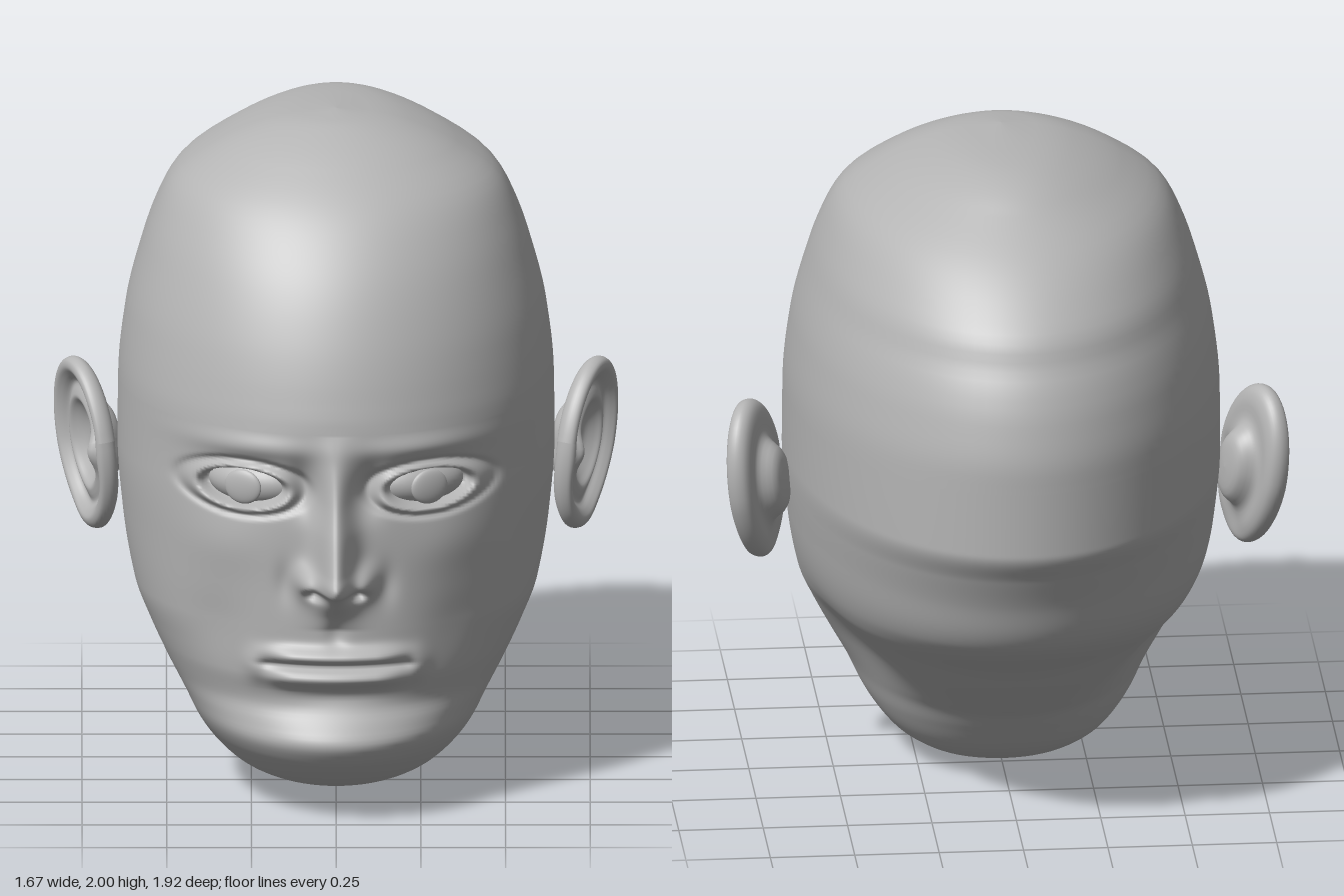
import * as THREE from 'three';

const skin = new THREE.MeshStandardMaterial({ color: 0xb4b4b4 });
skin.name = 'plain grey';

// Smooth monotone curve through [y, value] pairs
function curve(pts) {
  const d = pts.slice(1).map((p, i) => (p[1] - pts[i][1]) / (p[0] - pts[i][0]));
  const m = pts.map((p, i) => {
    const a = d[Math.max(i - 1, 0)], b = d[Math.min(i, d.length - 1)];
    return a * b > 0 ? (2 * a * b) / (a + b) : 0;
  });
  return (y) => {
    let i = 0;
    while (i < d.length - 1 && y > pts[i + 1][0]) i++;
    const h = pts[i + 1][0] - pts[i][0];
    const t = THREE.MathUtils.clamp((y - pts[i][0]) / h, 0, 1), s = 1 - t;
    return pts[i][1] * (1 + 2 * t) * s * s + pts[i + 1][1] * t * t * (3 - 2 * t)
      + h * (m[i] * t * s * s - m[i + 1] * t * t * s);
  };
}

// Skull outlines by height: half width, front, back and widest depth
const halfWidth = curve([[0, 0], [0.008, 0.1], [0.03, 0.2], [0.05, 0.245], [0.1, 0.32], [0.2, 0.4], [0.3, 0.45],
  [0.4, 0.505], [0.5, 0.555], [0.6, 0.595], [0.8, 0.63], [1, 0.645], [1.2, 0.643], [1.4, 0.622], [1.6, 0.572],
  [1.7, 0.537], [1.8, 0.485], [1.9, 0.355], [1.97, 0.2], [1.992, 0.1], [2, 0]]);
const front = curve([[0, 0.1], [0.01, 0.25], [0.05, 0.5], [0.1, 0.64], [0.15, 0.72], [0.2, 0.775], [0.25, 0.8],
  [0.3, 0.775], [0.36, 0.742], [0.45, 0.762], [0.6, 0.77], [0.8, 0.772], [1, 0.775], [1.2, 0.78], [1.3, 0.762],
  [1.4, 0.735], [1.5, 0.698], [1.6, 0.65], [1.7, 0.585], [1.8, 0.497], [1.9, 0.36], [1.97, 0.22], [1.995, 0.13], [2, 0.04]]);
const back = curve([[0, 0.1], [0.01, 0.03], [0.04, -0.08], [0.1, -0.18], [0.2, -0.27], [0.26, -0.32], [0.3, -0.37],
  [0.4, -0.49], [0.5, -0.6], [0.6, -0.74], [0.65, -0.79], [0.7, -0.82], [0.8, -0.86], [0.9, -0.91], [1, -0.96],
  [1.25, -0.96], [1.4, -0.935], [1.5, -0.9], [1.56, -0.868], [1.62, -0.845], [1.7, -0.775], [1.8, -0.66],
  [1.9, -0.5], [1.95, -0.41], [1.98, -0.3], [1.995, -0.12], [2, 0.04]]);
const middle = curve([[0, 0.1], [0.3, 0.22], [0.5, 0.15], [0.8, 0.07], [1.2, 0.05], [2, 0.04]]);

// Nose height above the face, and its half width
const noseHeight = curve([[0.6, 0], [0.64, 0.02], [0.68, 0.06], [0.72, 0.11], [0.745, 0.18], [0.765, 0.19],
  [0.8, 0.165], [0.9, 0.112], [1, 0.062], [1.1, 0.028], [1.2, 0]]);
const noseWidth = curve([[0.6, 0.07], [0.75, 0.055], [0.9, 0.05], [1, 0.04], [1.2, 0.055]]);

const bump = (v, centre, size) => Math.exp(-(((v - centre) / size) ** 2));
const step = THREE.MathUtils.smoothstep;

// Forward relief of the face at x (mirrored) and y
function faceRelief(x, y) {
  const a = Math.abs(x);
  let z = noseHeight(y) * bump(a, 0, noseWidth(y));
  // nostril wings, holes and the crease beside them
  z += 0.06 * bump(a, 0.085, 0.035) * bump(y, 0.75, 0.045);
  z -= 0.05 * bump(a, 0.065, 0.024) * bump(y, 0.717, 0.017);
  z -= 0.012 * bump(a, 0.15, 0.03) * bump(y, 0.74, 0.06);
  // brow, inner eye corner, eye socket
  z += 0.018 * bump(a, 0.25, 0.17) * bump(y, 1.15, 0.035);
  z -= 0.035 * bump(a, 0.1, 0.045) * bump(y, 1.03, 0.07);
  z -= 0.022 * bump(a, 0.27, 0.15) * bump(y, 1.04, 0.08);
  // eyelids
  const d = Math.hypot((a - 0.275) / 0.14, (y - 1.02) / 0.062);
  z -= 0.05 * (1 - step(d, 0.72, 0.95));
  z += 0.018 * bump(d, 1.04, 0.14) - 0.012 * bump(d, 1.36, 0.13);
  // cheekbone and hollow
  z += 0.012 * bump(a, 0.34, 0.12) * bump(y, 0.84, 0.09);
  z -= 0.015 * bump(a, 0.36, 0.1) * bump(y, 0.58, 0.1);
  // lips, mouth line, corners and the groove above
  const lip = 1 - step(a, 0.12, 0.27);
  z += lip * (0.04 * bump(y, 0.52, 0.025) + 0.036 * bump(y, 0.452, 0.028) - 0.022 * bump(y, 0.487, 0.01));
  z += 0.018 * bump(a, 0.245, 0.03) * bump(y, 0.48, 0.045);
  z -= 0.012 * bump(a, 0, 0.03) * bump(y, 0.59, 0.04);
  z -= 0.012 * bump(a, 0, 0.15) * bump(y, 0.39, 0.025);
  return z;
}

// Head: rings stacked upwards, finer over the face
function headGeometry() {
  const bands = [[0, 0.06, 8], [0.06, 0.4, 26], [0.4, 1.2, 120], [1.2, 1.9, 28], [1.9, 2, 12]];
  const rows = bands.flatMap(([a, b, n]) => Array.from({ length: n }, (_, i) => a + ((b - a) * i) / n));
  rows.push(2);
  const cols = 220, pos = [], index = [];
  rows.forEach((y, i) => {
    const w = halfWidth(y), f = front(y), b = back(y), c = middle(y);
    for (let j = 0; j < cols; j++) {
      const u = (2 * j) / cols - 1;
      const angle = Math.PI * (0.3 * u + 0.7 * u ** 3);
      const cos = Math.cos(angle);
      let x = w * Math.sin(angle);
      let z = c + cos * (cos > 0 ? f - c : c - b);
      if (cos > 0) z += faceRelief(x, y) * step(cos, 0.1, 0.5);
      // hollow of the neck behind the jaw
      x *= 1 - 0.1 * bump(z, -0.2, 0.2) * bump(y, 0.42, 0.14);
      pos.push(x, y, z);
      if (i < rows.length - 1) {
        const p = i * cols + j, q = i * cols + ((j + 1) % cols);
        index.push(p, q, p + cols, q, q + cols, p + cols);
      }
    }
  });
  const g = new THREE.BufferGeometry();
  g.setAttribute('position', new THREE.Float32BufferAttribute(pos, 3));
  g.setIndex(index);
  g.computeVertexNormals();
  return g;
}

// Ear: a turned dish with rim, groove, inner fold and bowl, squashed to an oval
function earGeometry() {
  const profile = [[0, -0.09], [0.35, -0.08], [0.55, -0.035], [0.8, -0.03], [0.94, -0.018], [1, 0.005], [0.97, 0.03],
    [0.88, 0.036], [0.79, 0.022], [0.7, 0.004], [0.6, 0.014], [0.52, 0.018], [0.42, 0], [0.25, -0.022], [0, -0.028]];
  const path = new THREE.SplineCurve(profile.map((p) => new THREE.Vector2(...p)));
  const points = path.getPoints(56);
  points.forEach((p) => { p.x = Math.max(p.x, 0); });
  const g = new THREE.LatheGeometry(points, 64);
  g.rotateZ(-Math.PI / 2).scale(1, 0.258, 0.168);
  // small flap at the front and a softer, narrower lobe
  const p = g.attributes.position;
  for (let i = 0; i < p.count; i++) {
    const y = p.getY(i), z = p.getZ(i);
    p.setX(i, p.getX(i) + 0.03 * bump(z, 0.1, 0.035) * bump(y, -0.03, 0.05) + 0.012 * bump(y, -0.2, 0.05) * bump(z, 0, 0.07));
    p.setZ(i, z * (1 + 0.35 * Math.min(y, 0)));
  }
  g.computeVertexNormals();
  return g.rotateX(-0.2).rotateY(-0.42).rotateZ(-0.08).translate(0.73, 0.945, -0.08);
}

// Copy of a geometry on the other side, faces kept outward
function mirrored(geometry) {
  const g = geometry.clone().scale(-1, 1, 1);
  const ix = g.index.array;
  for (let i = 0; i < ix.length; i += 3) [ix[i], ix[i + 1]] = [ix[i + 1], ix[i]];
  return g;
}

export function createModel() {
  const model = new THREE.Group();
  model.name = 'head model';
  const add = (name, geometry) => {
    const mesh = new THREE.Mesh(geometry, skin);
    mesh.name = name;
    model.add(mesh);
  };
  const pair = (name, geometry) => {
    add('left' + name, geometry);
    add('right' + name, mirrored(geometry));
  };

  add('head', headGeometry());
  pair('Ear', earGeometry());
  // eyes turned outward with the curve of the face
  pair('Eyeball', new THREE.SphereGeometry(1, 40, 24).scale(0.155, 0.075, 0.09).rotateY(0.48).translate(0.235, 1.02, 0.605));
  pair('Iris', new THREE.SphereGeometry(1, 32, 16).scale(0.06, 0.052, 0.016).rotateY(0.48).translate(0.275, 1.018, 0.682));
  return model;
}
